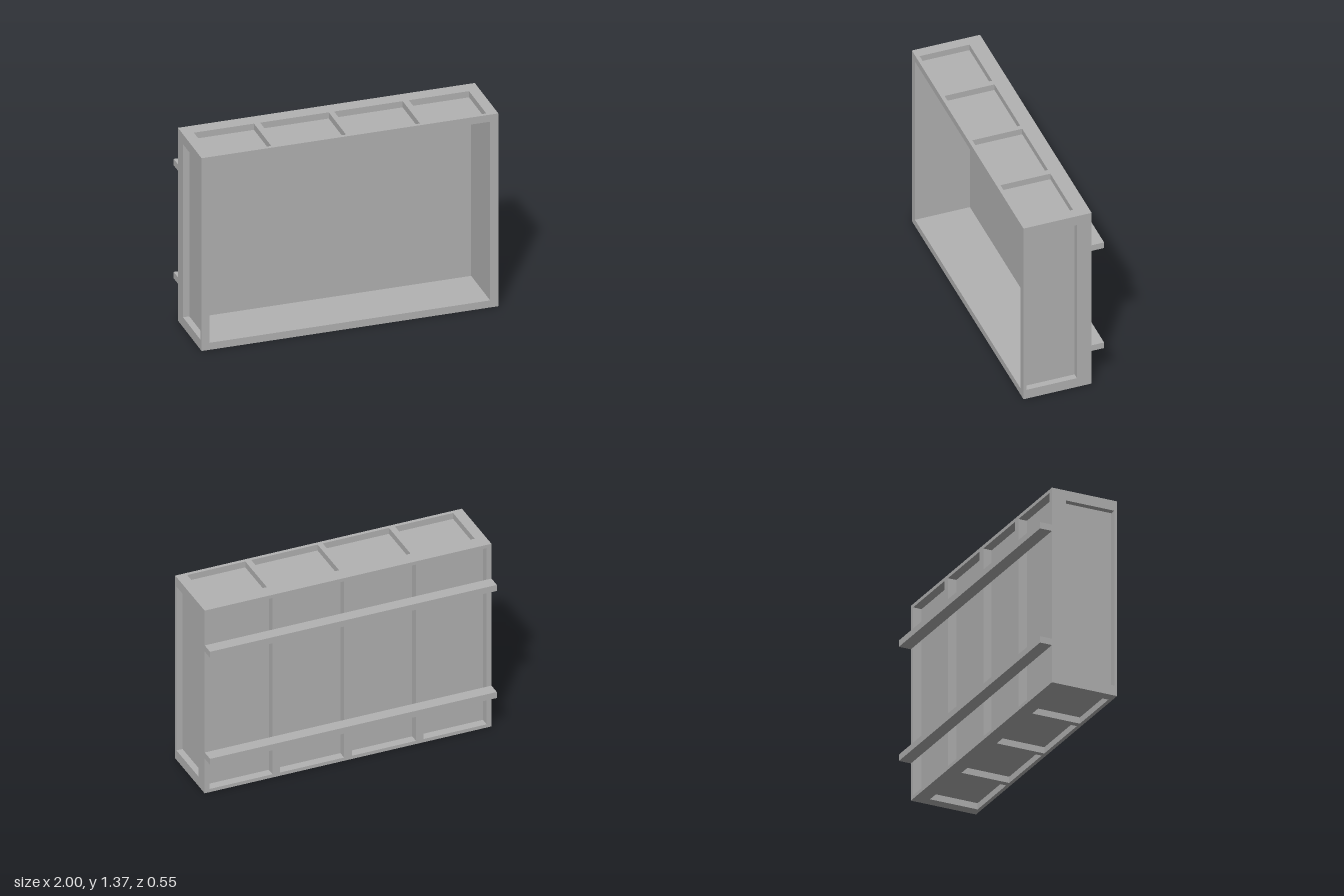
import * as THREE from 'three';
import { mergeGeometries } from 'three/addons/utils/BufferGeometryUtils.js';

const W = 2, H = 1.37, FRONT = 0.275, BACK = -0.19;
const D = FRONT - BACK, MID = (FRONT + BACK) / 2;

// Flat face in XY looking along +z, with rectangular pockets [x0, x1, y0, y1]
function pocketFace(w, h, pockets, depth) {
  const shape = new THREE.Shape([
    new THREE.Vector2(-w / 2, -h / 2), new THREE.Vector2(w / 2, -h / 2),
    new THREE.Vector2(w / 2, h / 2), new THREE.Vector2(-w / 2, h / 2)]);
  const parts = [];
  for (const [x0, x1, y0, y1] of pockets) {
    shape.holes.push(new THREE.Path([
      new THREE.Vector2(x0, y0), new THREE.Vector2(x0, y1),
      new THREE.Vector2(x1, y1), new THREE.Vector2(x1, y0)]));
    const pw = x1 - x0, ph = y1 - y0, cx = (x0 + x1) / 2, cy = (y0 + y1) / 2;
    const plane = (a, b) => new THREE.PlaneGeometry(a, b);
    parts.push(
      plane(pw, ph).translate(cx, cy, -depth),
      plane(depth, ph).rotateY(Math.PI / 2).translate(x0, cy, -depth / 2),
      plane(depth, ph).rotateY(-Math.PI / 2).translate(x1, cy, -depth / 2),
      plane(pw, depth).rotateX(-Math.PI / 2).translate(cx, y0, -depth / 2),
      plane(pw, depth).rotateX(Math.PI / 2).translate(cx, y1, -depth / 2));
  }
  parts.push(new THREE.ShapeGeometry(shape));
  return mergeGeometries(parts);
}

export function createModel() {
  const group = new THREE.Group();
  const grey = new THREE.MeshStandardMaterial({ color: 0xb2b2b2 });
  grey.name = 'plain grey';

  const add = (name, geometry, x, y, z) => {
    const mesh = new THREE.Mesh(geometry, grey);
    mesh.name = name;
    mesh.position.set(x, y, z);
    group.add(mesh);
  };

  // Open front compartment
  add('frontCompartment', pocketFace(W, H, [[-0.945, 0.945, 0.05 - H / 2, 1.32 - H / 2]], 0.375),
    0, H / 2, FRONT);

  // Back frame with four bays
  const bays = [[-0.967, -0.526], [-0.474, -0.027], [0.027, 0.474], [0.526, 0.967]];
  const backPockets = bays.map(([a, b]) => [a, b, 0.024 - H / 2, H / 2 - 0.024]);
  add('backFrame', pocketFace(W, H, backPockets, 0.06).rotateY(Math.PI), 0, H / 2, BACK);

  // Side frames, one tall pocket each
  const near = 0.255 - MID, far = -0.09 - MID;
  const y0 = 0.07 - H / 2, y1 = 1.3 - H / 2;
  add('leftFrame', pocketFace(D, H, [[-near, -far, y0, y1]], 0.043).rotateY(Math.PI / 2),
    W / 2, H / 2, MID);
  add('rightFrame', pocketFace(D, H, [[far, near, y0, y1]], 0.043).rotateY(-Math.PI / 2),
    -W / 2, H / 2, MID);

  // Top and bottom frames, four pockets each
  const cells = [[-0.927, -0.522], [-0.48, -0.018], [0.018, 0.48], [0.522, 0.927]];
  const zNear = 0.25 - MID;
  add('topFrame', pocketFace(W, D, cells.map(([a, b]) => [a, b, -zNear, -far]), 0.044)
    .rotateX(-Math.PI / 2), 0, H, MID);
  add('bottomFrame', pocketFace(W, D, cells.map(([a, b]) => [a, b, far, zNear]), 0.044)
    .rotateX(Math.PI / 2), 0, 0, MID);

  // Two horizontal battens across the back
  for (const [name, y] of [['lowerBatten', 0.284], ['upperBatten', 1.087]]) {
    add(name, new THREE.BoxGeometry(W, 0.045, 0.085), 0, y, BACK - 0.0425);
  }
  return group;
}
